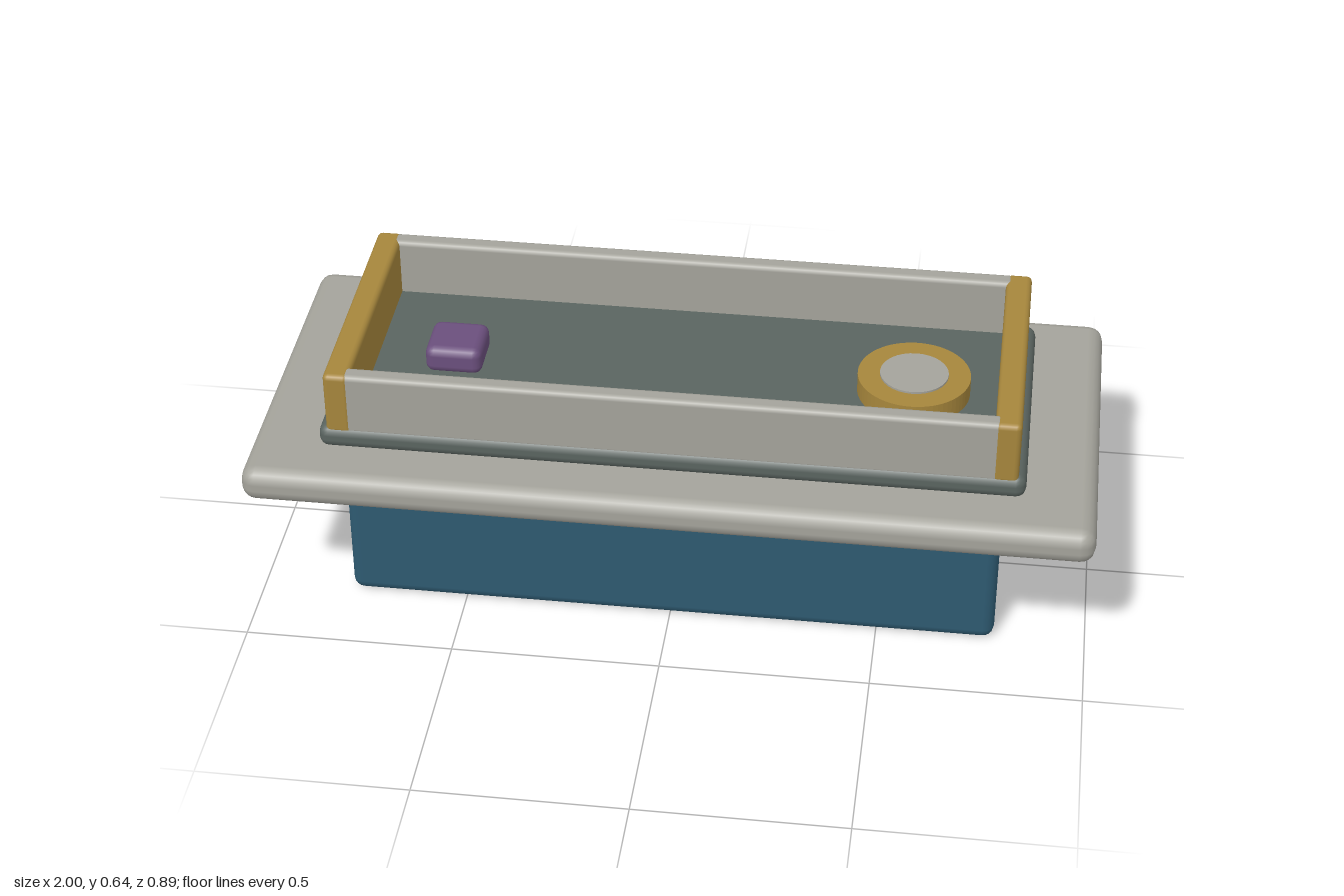
import * as THREE from 'three';
import { RoundedBoxGeometry } from 'three/addons/geometries/RoundedBoxGeometry.js';

const mat = (name, color) => new THREE.MeshStandardMaterial({ name, color });

export function createModel() {
  const group = new THREE.Group();
  group.name = 'recessedTray';
  const blue = mat('blue', 0x2e5a71);
  const gold = mat('gold', 0xa6863c);
  const grey = mat('warm grey', 0xa4a39b);
  const slate = mat('slate', 0x5a6460);
  const purple = mat('purple', 0x6b4f7d);

  const add = (name, geometry, material, x, y, z) => {
    const mesh = new THREE.Mesh(geometry, material);
    mesh.name = name;
    mesh.position.set(x, y, z);
    group.add(mesh);
  };

  // Rounded block given by its size, bottom height and centre
  const block = (name, material, w, d, y0, y1, r, x = 0, z = 0) =>
    add(name, new RoundedBoxGeometry(w, y1 - y0, d, 2, r), material, x, (y0 + y1) / 2, z);

  // Stacked base
  block('body', blue, 1.565, 0.614, 0.003, 0.345, 0.028);
  block('trim', gold, 1.6, 0.654, 0.325, 0.375, 0.01);
  block('flange', grey, 2, 0.894, 0.353, 0.441, 0.036);
  block('trayFloor', slate, 1.664, 0.656, 0.443, 0.502, 0.024);

  // Tray walls
  for (const s of [-1, 1]) {
    block('endWall', gold, 0.062, 0.644, 0.485, 0.647, 0.013, s * 0.782);
    block('sideWall', grey, 1.54, 0.046, 0.485, 0.647, 0.013, 0, s * 0.298);
  }

  // Dial ring with its inset cap, and the button
  const ring = new THREE.Shape().absarc(0, 0, 0.135, 0, Math.PI * 2);
  ring.holes.push(new THREE.Path().absarc(0, 0, 0.08, 0, Math.PI * 2, true));
  const ringGeometry = new THREE.ExtrudeGeometry(ring, { depth: 0.055, bevelEnabled: false, curveSegments: 32 });
  ringGeometry.rotateX(-Math.PI / 2);
  add('dialRing', ringGeometry, gold, 0.55, 0.495, 0);
  add('dialCap', new THREE.CylinderGeometry(0.082, 0.082, 0.06, 32), grey, 0.55, 0.525, 0);
  block('button', purple, 0.138, 0.138, 0.495, 0.565, 0.022, -0.557, -0.005);

  return group;
}
